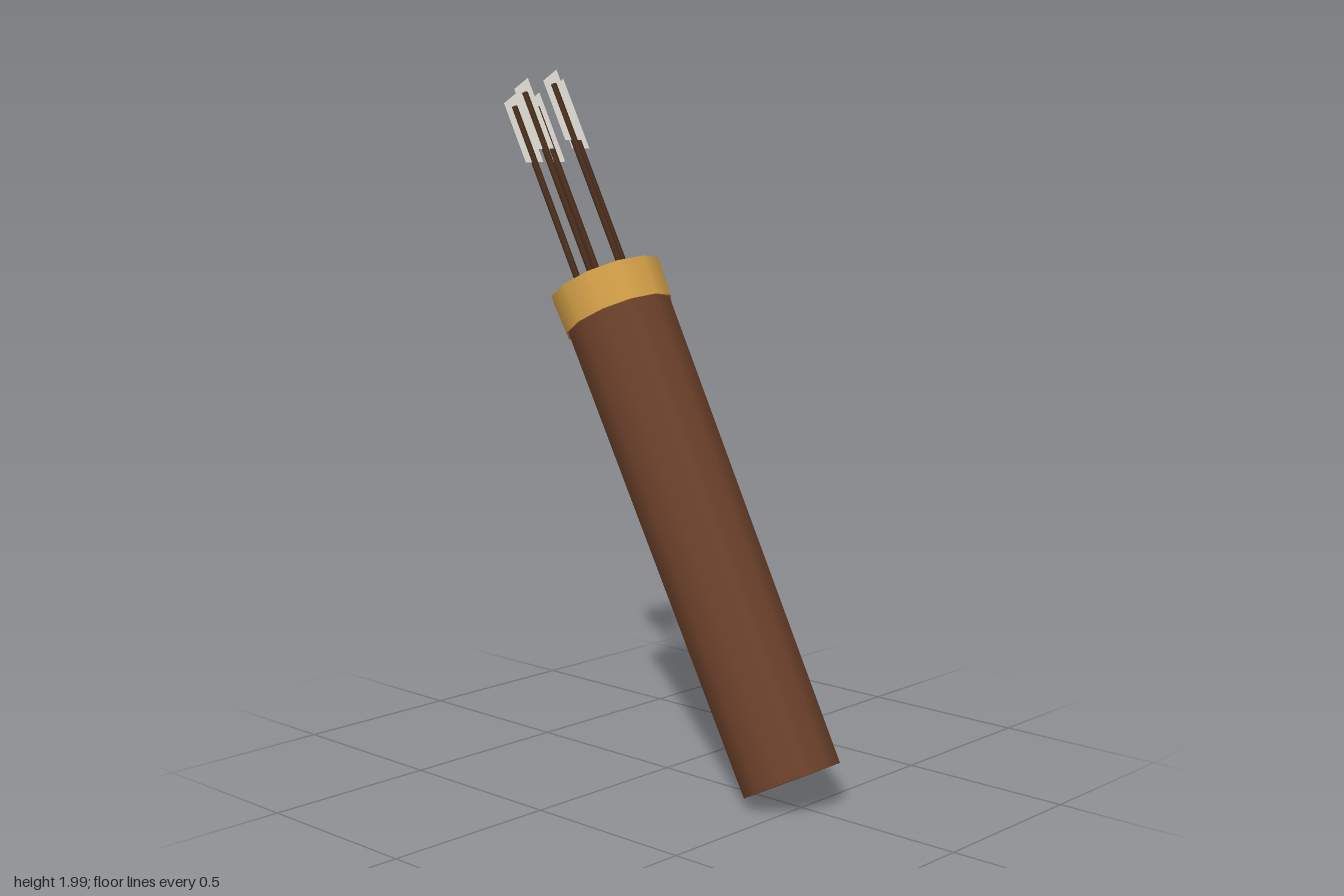
import * as THREE from 'three';

const material = (color, extra = {}) => new THREE.MeshStandardMaterial({ color, ...extra });

function addMesh(parent, name, geometry, mat, x = 0, y = 0, z = 0) {
  const mesh = new THREE.Mesh(geometry, mat);
  mesh.name = name;
  mesh.position.set(x, y, z);
  parent.add(mesh);
  return mesh;
}

export function createModel() {
  const group = new THREE.Group();
  group.name = 'quiver';

  const leather = material(0x6b402a);
  const gold = material(0xd4a048);
  const wood = material(0x4a2e1c);
  const feather = material(0xdedcd4, { side: THREE.DoubleSide });

  // Everything is built upright, then leaned over to one side
  const leaning = new THREE.Group();
  leaning.name = 'leaningQuiver';
  leaning.position.set(0.465, 0.075, 0);
  leaning.rotation.z = THREE.MathUtils.degToRad(28);
  group.add(leaning);

  // Tapered body, its top just proud of the collar
  const height = 1.5;
  const bodyHeight = height + 0.002;
  addMesh(leaning, 'body', new THREE.CylinderGeometry(0.158, 0.143, bodyHeight, 12), leather, 0, bodyHeight / 2);

  // Collar around the mouth
  addMesh(leaning, 'collar', new THREE.CylinderGeometry(0.167, 0.162, 0.115, 12), gold, 0, height - 0.0575);

  // Flat vane with a slanted end, wide along z
  const vane = new THREE.Shape([
    new THREE.Vector2(-0.035, 0.41),
    new THREE.Vector2(0.035, 0.41),
    new THREE.Vector2(0.035, 0.64),
    new THREE.Vector2(-0.035, 0.602),
  ]);
  const vaneGeometry = new THREE.ShapeGeometry(vane).rotateY(Math.PI / 2);
  const shaftGeometry = new THREE.CylinderGeometry(0.01, 0.01, 0.69, 6).translate(0, 0.245, 0);

  // Five arrows in a ring
  for (let i = 0; i < 5; i++) {
    const angle = (i / 5) * Math.PI * 2;
    const arrow = new THREE.Group();
    arrow.name = `arrow${i + 1}`;
    arrow.position.set(Math.cos(angle) * 0.075, height, Math.sin(angle) * 0.075);
    addMesh(arrow, 'shaft', shaftGeometry, wood);
    addMesh(arrow, 'fletching', vaneGeometry, feather);
    leaning.add(arrow);
  }

  return group;
}
